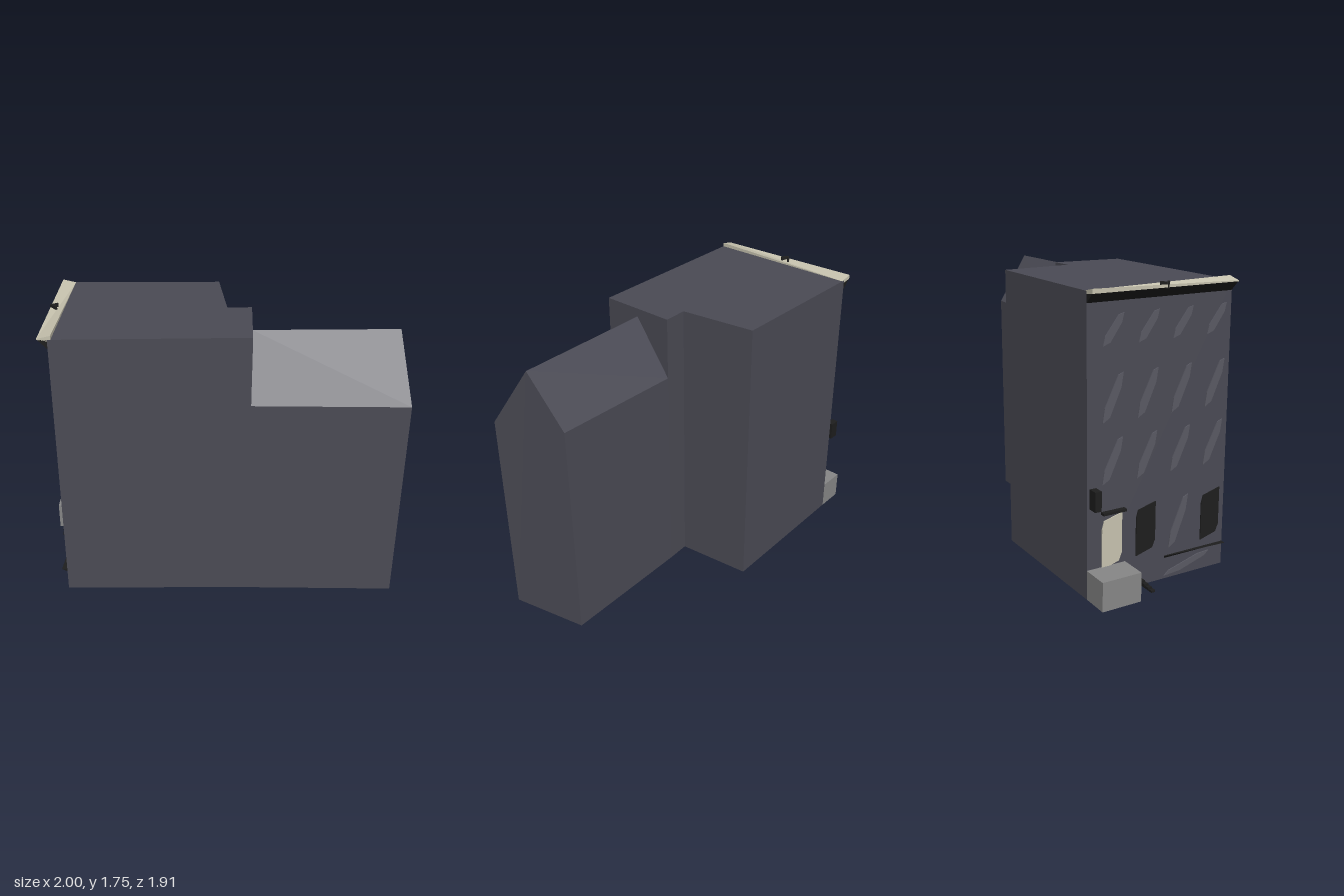
import * as THREE from 'three';

const mat = (name, color, side = THREE.FrontSide) =>
  Object.assign(new THREE.MeshStandardMaterial({ color, side }), { name });

// Joins two matching outlines (counter-clockwise seen from the second) into a closed solid.
function loft(a, b) {
  const pos = [], n = a.length;
  const tri = (...pts) => pts.forEach((p) => pos.push(...p));
  for (let i = 0; i < n; i++) {
    const j = (i + 1) % n;
    tri(a[i], a[j], b[j]);
    tri(a[i], b[j], b[i]);
  }
  for (let i = 1; i < n - 1; i++) {
    tri(a[0], a[i + 1], a[i]);
    tri(b[0], b[i], b[i + 1]);
  }
  const geo = new THREE.BufferGeometry();
  geo.setAttribute('position', new THREE.Float32BufferAttribute(pos, 3));
  geo.computeVertexNormals();
  return geo;
}

export function createModel() {
  const model = new THREE.Group();
  model.name = 'townhouse';
  const wall = mat('slate wall', 0x4b4b55);
  const cream = mat('cream trim', 0xc8c4b0);
  const stone = mat('grey stone', 0x888888);
  const dark = mat('black metal', 0x1e1e1e);
  const glass = mat('window grey', 0x5a5a64);

  const add = (parent, name, geo, material) => {
    const mesh = new THREE.Mesh(geo, material);
    mesh.name = name;
    parent.add(mesh);
    return mesh;
  };

  // Main block, its roof rising slightly to the right
  const plan = [[0.16, 0.02], [0.345, -0.4], [-0.47, -0.87], [-0.95, -0.06], [0.05, 0.49], [0.29, 0.09]];
  add(model, 'mainBlock', loft(
    plan.map(([x, z]) => [x, 0, z]),
    plan.map(([x, z]) => [x, 1.733 + 0.011 * x, z])), wall);

  // Gabled wing
  add(model, 'gabledWing', loft(
    [[0.05, 0, 0.49], [0.29, 0, 0.09], [0.29, 1.36, 0.09], [0.17, 1.685, 0.29], [0.05, 1.31, 0.49]],
    [[0.85, 0, 0.95], [1, 0, 0.5], [1, 1.38, 0.5], [0.925, 1.69, 0.705], [0.85, 1.31, 0.95]]), wall);

  // Street facade: local x runs along the wall, local z points out of it
  const facade = new THREE.Group();
  facade.name = 'facade';
  facade.position.set(-0.47, 0, -0.87);
  facade.rotation.y = Math.atan2(-0.81, -0.48);
  model.add(facade);
  const L = 0.94;

  const box = (name, x0, x1, y0, y1, z0, z1, material) => {
    const mesh = add(facade, name, new THREE.BoxGeometry(x1 - x0, y1 - y0, z1 - z0), material);
    mesh.position.set((x0 + x1) / 2, (y0 + y1) / 2, (z0 + z1) / 2);
    return mesh;
  };
  const plate = (name, outline, x, y, w, h, material) => {
    const shape = new THREE.Shape(outline.map(([u, v]) => new THREE.Vector2(u * w, v * h)));
    const geo = new THREE.ExtrudeGeometry(shape, { depth: 0.006, bevelEnabled: false });
    add(facade, name, geo, material).position.set(x, y, 0);
  };

  // Cornice: twisted cream top over a sloping dark soffit
  const cap = (x, inner, outer) => [[x, 1.72, 0.06], [x, 1.71, -0.02], [x, inner, -0.02], [x, outer, 0.06]];
  add(facade, 'corniceTop', loft(cap(0, 1.728, 1.746), cap(L, 1.746, 1.726)), cream);
  const soffit = (x) => [[x, 1.72, 0.055], [x, 1.665, 0], [x, 1.72, 0]];
  add(facade, 'corniceSoffit', loft(soffit(0), soffit(L)), dark);

  // Small chevron ornament on the cornice
  for (const s of [-1, 1]) {
    const arm = box('corniceOrnament', 0.44, 0.49, 1.715, 1.75, 0.035, 0.047, dark);
    arm.position.x = 0.465 + s * 0.012;
    arm.rotation.y = s * 0.9;
  }

  // Windows and door
  const leaf = [[0, 0], [0.35, 0.1], [0.9, 0.7], [1, 1], [0.75, 0.95], [0.1, 0.3]];
  const pane = [[0, 0], [0.85, 0.1], [1, 0.25], [1, 1], [0.1, 0.9], [0, 0.75]];
  const columns = [0.095, 0.32, 0.545, 0.775];
  for (const x of columns) {
    for (const [y, h] of [[0.66, 0.26], [1.01, 0.27], [1.43, 0.17]]) {
      plate('upperWindow', leaf, x, y, 0.13, h, glass);
    }
  }
  plate('door', pane, columns[0], 0.16, 0.13, 0.32, cream);
  plate('groundWindow', pane, columns[1], 0.19, 0.13, 0.31, dark);
  plate('groundWindow', leaf, columns[2], 0.19, 0.13, 0.31, glass);
  plate('groundWindow', pane, columns[3], 0.19, 0.13, 0.31, dark);
  plate('basementWindow', leaf, 0.52, 0.02, 0.32, 0.09, glass);

  // Door hood, hanging lantern and base ledge
  box('doorHood', 0.09, 0.24, 0.49, 0.505, 0, 0.03, dark);
  box('lantern', 0, 0.04, 0.55, 0.665, 0.03, 0.09, dark);
  const ledge = (x, d) => [[x, 0.145, d], [x, 0.13, 0], [x, 0.145, 0]];
  add(facade, 'baseLedge', loft(ledge(0.52, 0.01), ledge(L, 0.035)), dark);

  // Stoop and its descending treads
  box('stoop', 0, 0.25, 0, 0.175, 0, 0.17, stone);
  for (let i = 0; i < 5; i++) {
    const x = 0.25 + i * 0.024, y = 0.125 - i * 0.026;
    box('stairTread', x, x + 0.026, y - 0.012, y, 0.02, 0.13, dark);
  }
  return model;
}
